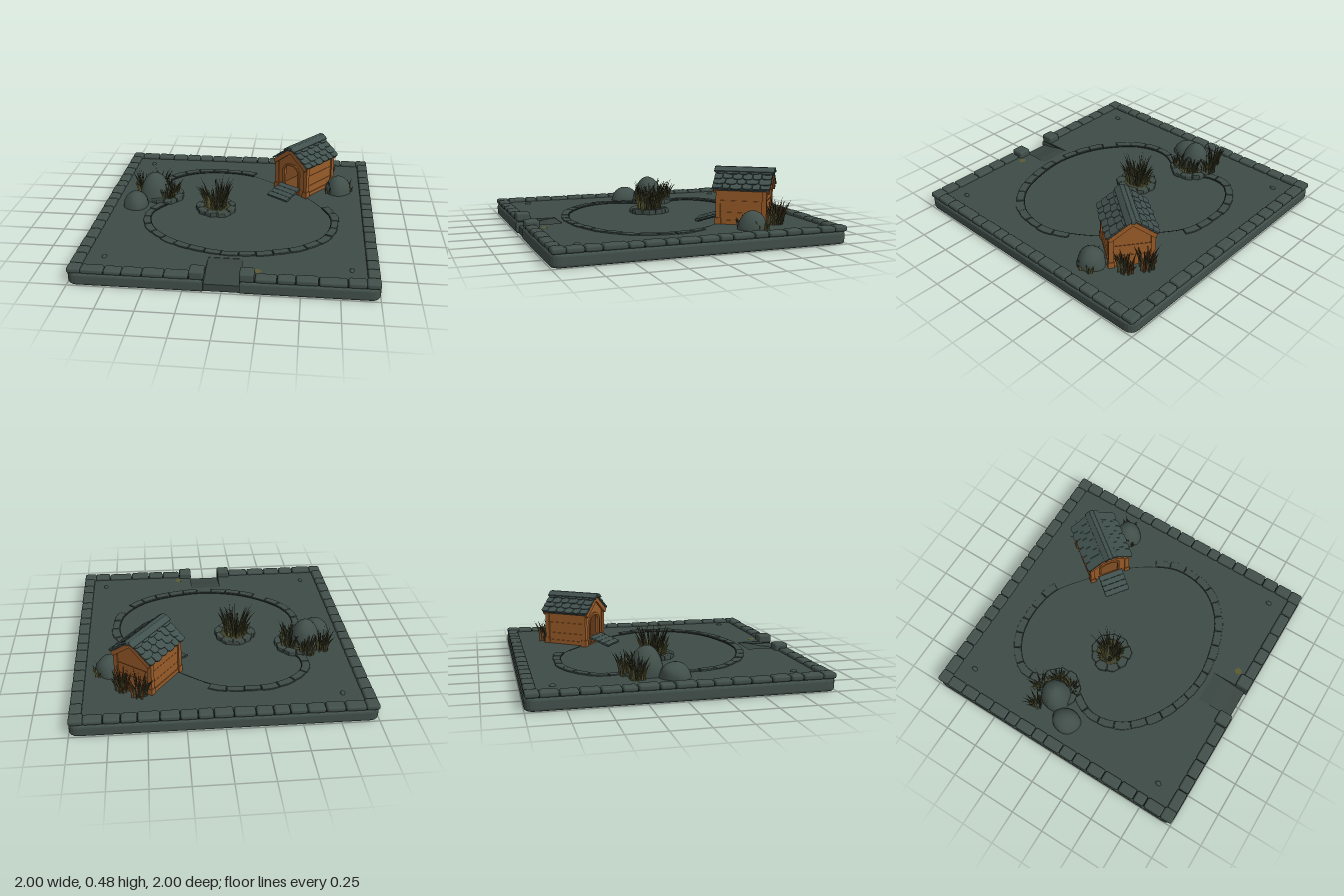
import * as THREE from 'three';
import { mergeGeometries } from 'three/addons/utils/BufferGeometryUtils.js';
import { RoundedBoxGeometry } from 'three/addons/geometries/RoundedBoxGeometry.js';

const mat = (name, color, side = THREE.FrontSide) => {
  const m = new THREE.MeshStandardMaterial({ color, side });
  m.name = name;
  return m;
};

export function createModel() {
  const M = {
    stone: mat('stone', 0x414f4a), ground: mat('ground', 0x3e4b47), path: mat('path', 0x394541),
    gap: mat('dark gap', 0x1c2422), roof: mat('roof slate', 0x40504d), wood: mat('wood', 0x985a28),
    darkWood: mat('dark wood', 0x74451f), grass: mat('grass', 0x3f402a, THREE.DoubleSide),
    dry: mat('dry grass', 0x5c5a30, THREE.DoubleSide), rust: mat('rust grass', 0x6a431f, THREE.DoubleSide),
  };
  const model = new THREE.Group();
  let seed = 7;
  const rnd = (a = 0, b = 1) => {
    seed = (seed * 16807) % 2147483647;
    return a + (b - a) * (seed / 2147483647);
  };
  const add = (parent, name, geo, material, x = 0, y = 0, z = 0) => {
    const mesh = new THREE.Mesh(geo, material);
    mesh.name = name;
    mesh.position.set(x, y, z);
    parent.add(mesh);
    return mesh;
  };
  const box = (w, h, d) => new THREE.BoxGeometry(w, h, d);
  const group = (name, parent = model) => {
    const g = new THREE.Group();
    g.name = name;
    parent.add(g);
    return g;
  };
  // Horizontal plate from [x, z] points, rising from y by h
  const plate = (pts, y, h, bevel = 0, hole) => {
    const v = p => p.map(([x, z]) => new THREE.Vector2(x, -z));
    const s = new THREE.Shape(v(pts));
    if (hole) s.holes.push(new THREE.Path(v(hole)));
    return new THREE.ExtrudeGeometry(s, {
      depth: h - 2 * bevel, bevelEnabled: bevel > 0, bevelThickness: bevel,
      bevelSize: bevel, bevelOffset: -bevel, bevelSegments: 3,
    }).rotateX(-Math.PI / 2).translate(0, y + bevel, 0);
  };

  // Base slab with rounded corners and a notch for the entrance
  const outline = (r, c, notch) => {
    const pts = [[-notch, 0.72], [-notch, r]];
    for (const [sx, sz, start] of [[-1, 1, 0.5], [-1, -1, 1], [1, -1, 1.5], [1, 1, 0]])
      for (let i = 0; i <= 4; i++) {
        const a = (start + i / 8) * Math.PI;
        pts.push([sx * (r - c) + c * Math.cos(a), sz * (r - c) + c * Math.sin(a)]);
      }
    return pts.concat([[notch, r], [notch, 0.72]]);
  };
  add(model, 'base slab', plate(outline(1, 0.06, 0.115), 0, 0.085, 0.018), M.stone);
  add(model, 'border joint', plate(outline(0.985, 0.05, 0.115), 0.08, 0.008), M.gap);

  // Sloping entrance path
  const ramp = new THREE.Shape([[0.7, 0], [0.98, 0], [0.98, 0.05], [0.9, 0.062], [0.8, 0.087], [0.7, 0.0965]]
    .map(p => new THREE.Vector2(-p[0], p[1])));
  add(model, 'entrance path', new THREE.ExtrudeGeometry(ramp, { depth: 0.266, bevelEnabled: false })
    .rotateY(Math.PI / 2).translate(-0.133, 0, 0), M.path);

  // Pond shore
  const shore = new THREE.CatmullRomCurve3([
    [-0.26, -0.68], [0.03, -0.65], [0.25, -0.5], [0.45, -0.33], [0.62, -0.1], [0.69, 0.09], [0.65, 0.33],
    [0.49, 0.51], [0.22, 0.61], [-0.02, 0.63], [-0.32, 0.54], [-0.56, 0.33], [-0.61, 0.11], [-0.5, -0.1],
    [-0.47, -0.22], [-0.57, -0.36], [-0.57, -0.5], [-0.45, -0.62],
  ].map(([x, z]) => new THREE.Vector3(x, 0, z)), true);
  const shoreAt = (u, out) => {
    const p = shore.getPointAt(u % 1), t = shore.getTangentAt(u % 1);
    return [p.x + t.z * out, p.z - t.x * out];
  };
  const loop = out => Array.from({ length: 80 }, (_, i) => shoreAt(i / 80, out));
  add(model, 'ground', plate(outline(0.925, 0.02, 0.115), 0.084, 0.013, 0, loop(0)), M.ground);
  add(model, 'pond surface', plate(loop(0.01), 0.083, 0.008), M.ground);
  add(model, 'shore line', plate(loop(0.004), 0.084, 0.0138, 0, loop(-0.002)), M.gap);

  // Flat stones around the pond, each on a thin dark joint
  const ring = group('pond edging');
  const count = 38;
  const slab = (u0, u1, inner, w) => [shoreAt(u0, inner), shoreAt((u0 + u1) / 2, inner), shoreAt(u1, inner),
    shoreAt(u1, w), shoreAt((u0 + u1) / 2, w + 0.003), shoreAt(u0, w)];
  for (let i = 0; i < count; i++) {
    const u = i / count, w = rnd(0.05, 0.064);
    if (u > 0.075 && u < 0.26) continue;
    add(ring, 'edging joint', plate(slab(u, u + 1 / count, 0.002, w - 0.001), 0.09, 0.0082), M.gap);
    add(ring, 'edging stone', plate(slab(u + 0.0007, u + 1 / count - 0.0007, 0.003, w), 0.09,
      rnd(0.012, 0.018), 0.003), M.ground);
  }

  // Border stones
  const border = group('border stones');
  const run = (a, b, n, place) => {
    const cuts = Array.from({ length: n + 1 }, (_, i) =>
      a + (b - a) * (i + (i && i < n ? rnd(-0.18, 0.18) : 0)) / n);
    for (let i = 0; i < n; i++) place((cuts[i] + cuts[i + 1]) / 2, cuts[i + 1] - cuts[i] - 0.004);
  };
  const brick = (x, z, w, d, h = 0.04) =>
    add(border, 'border stone', new RoundedBoxGeometry(w, h, d, 3, 0.015), M.stone, x, 0.083 + h / 2, z);
  const high = () => rnd(0.035, 0.041);
  for (const s of [-1, 1]) {
    run(-0.91, 0.91, 15, (p, l) => brick(s * 0.957, p, 0.08, l, high()));
    run(0.21, 0.91, 5, (p, l) => brick(s * p, 0.957, l, 0.08, high()));
    for (const t of [-1, 1]) brick(s * 0.952, t * 0.952, 0.09, 0.09);
    brick(s * 0.16, 0.945, 0.095, 0.1, 0.062).name = 'gate stone';
  }
  run(-0.91, 0.91, 15, (p, l) => brick(p, -0.957, l, 0.08, high()));

  // Boulders and pebbles, flat below the ground
  const rock = (name, x, z, rx, top, rz, phase) => {
    const g = new THREE.SphereGeometry(1, 20, 14), p = g.attributes.position;
    for (let i = 0; i < p.count; i++) {
      const a = p.getX(i), b = p.getY(i), c = p.getZ(i);
      const k = 1 + 0.06 * Math.sin(3 * a + phase) * Math.cos(3 * c + b * 2) + 0.04 * Math.sin(4 * b + 3 * c);
      p.setXYZ(i, a * k * rx, Math.max(0.06, 0.095 + b * (top - 0.095)), c * k * rz);
    }
    g.computeVertexNormals();
    add(model, name, g, M.stone, x, 0, z);
  };
  rock('large boulder', -0.65, -0.18, 0.112, 0.293, 0.115, 1);
  rock('small boulder', -0.765, -0.02, 0.092, 0.2, 0.11, 3);
  rock('house boulder', 0.75, -0.42, 0.095, 0.22, 0.1, 5);
  for (const [x, z] of [[-0.79, -0.81], [-0.8, 0.78], [0.82, 0.8]]) rock('pebble', x, z, 0.015, 0.112, 0.023, x);
  add(model, 'moss patch', new THREE.CylinderGeometry(0.025, 0.025, 0.004, 12), M.dry, 0.22, 0.0955, 0.865);

  // Planting beds edged with flat stones
  const bed = (name, x, z, r, n) => {
    const g = group(name);
    g.position.set(x, 0, z);
    add(g, 'soil', new THREE.CylinderGeometry(r * 0.85, r * 0.9, 0.04, 20), M.grass, 0, 0.095, 0);
    for (let i = 0; i < n; i++) {
      const a0 = (i + 0.03) / n * Math.PI * 2, a1 = (i + 0.97) / n * Math.PI * 2, ro = r * rnd(0.92, 1.05);
      const ri = r * rnd(0.6, 0.72);
      const at = (a, q) => [q * Math.cos(a), q * Math.sin(a)];
      add(g, 'bed stone', plate([at(a0, ri), at(a0, ro * 0.97), at((a0 + a1) / 2, ro * 1.03),
        at(a1, ro * 0.97), at(a1, ri)], 0.085, rnd(0.03, 0.042), 0.007), M.ground);
    }
  };
  bed('pond island', -0.155, -0.02, 0.15, 9);
  bed('boulder bed', -0.59, -0.2, 0.155, 9);

  // Grass clumps of bent, flattened blades
  const clump = (name, x, z, r, n, h, material) => {
    const blades = [];
    for (let i = 0; i < n; i++) {
      const len = h * rnd(0.6, 1), a = rnd(0, 6.283), q = r * Math.sqrt(rnd()), lean = (q / r) * rnd(0.2, 0.5) * len;
      const g = new THREE.ConeGeometry(0.012, len, 3, 4, true).translate(0, len / 2, 0).scale(1, 1, 0.5);
      const p = g.attributes.position;
      for (let j = 0; j < p.count; j++) {
        const t = p.getY(j) / len;
        p.setX(j, p.getX(j) * (1 + 0.6 * t) + lean * t * t);
      }
      g.computeVertexNormals();
      blades.push(g.rotateY(-a).translate(q * 0.7 * Math.cos(a), 0, q * 0.7 * Math.sin(a)));
    }
    add(model, name, mergeGeometries(blades), material, x, 0.095, z);
  };
  clump('island grass', -0.155, -0.02, 0.1, 55, 0.235, M.grass);
  clump('island dry grass', -0.155, -0.02, 0.12, 28, 0.16, M.dry);
  for (const [x, z, h] of [[-0.76, -0.27, 0.18], [-0.64, -0.32, 0.18], [-0.53, -0.23, 0.15], [-0.54, -0.12, 0.15]]) {
    clump('boulder grass', x, z, 0.06, 22, h, M.grass);
    clump('boulder dry grass', x, z, 0.068, 10, h * 0.7, M.dry);
  }
  for (const [x, z, h] of [[0.55, -0.72, 0.17], [0.66, -0.64, 0.16]]) {
    clump('house grass', x, z, 0.065, 22, h, M.grass);
    clump('house rust grass', x, z, 0.07, 14, h * 0.9, M.rust);
  }
  clump('side grass', 0.82, -0.45, 0.06, 20, 0.08, M.dry);
  clump('wall grass', 0.68, -0.37, 0.035, 10, 0.1, M.grass);

  // Small wooden house
  const house = group('house');
  house.position.set(0.485, 0, -0.495);
  house.rotation.y = -0.6435;
  const arch = (path, r) => path.moveTo(-r, 0.1).lineTo(-r, 0.27).quadraticCurveTo(-r * 0.85, 0.25 + r, 0, 0.25 + r)
    .quadraticCurveTo(r * 0.85, 0.25 + r, r, 0.27).lineTo(r, 0.1);
  for (const s of [-1, 1]) {
    const gable = new THREE.Shape([[-0.14, 0.09], [0.14, 0.09], [0.14, 0.345], [0, 0.45], [-0.14, 0.345]]
      .map(p => new THREE.Vector2(...p)));
    if (s > 0) gable.holes.push(arch(new THREE.Path(), 0.068));
    add(house, s > 0 ? 'front wall' : 'back wall',
      new THREE.ExtrudeGeometry(gable, { depth: 0.02, bevelEnabled: false }), M.wood, 0, 0, s * 0.155 - 0.01);
    add(house, 'side lining', box(0.012, 0.25, 0.3), M.darkWood, s * 0.131, 0.22, 0);
    for (let i = 0; i < 3; i++)
      add(house, 'side plank', box(0.012, 0.079, 0.31), M.wood, s * 0.139, 0.14 + i * 0.081, 0);
    for (const t of [-1, 1]) {
      add(house, 'corner post', box(0.032, 0.25, 0.032), M.wood, s * 0.139, 0.22, t * 0.158);
      add(house, 'post foot', box(0.042, 0.05, 0.042), M.wood, s * 0.139, 0.115, t * 0.158);
    }
    add(house, 'side sill', box(0.025, 0.03, 0.32), M.wood, s * 0.14, 0.11, 0);
  }
  for (const y of [0.18, 0.261]) add(house, 'back plank joint', box(0.25, 0.003, 0.004), M.darkWood, 0, y, -0.166);
  add(house, 'floor', box(0.26, 0.03, 0.31), M.darkWood, 0, 0.108, 0);
  const frame = arch(new THREE.Shape(), 0.082);
  frame.holes.push(arch(new THREE.Path(), 0.066));
  add(house, 'door frame', new THREE.ExtrudeGeometry(frame, { depth: 0.026, bevelEnabled: false }), M.wood, 0, 0, 0.15);

  // Shingled roof
  for (const s of [-1, 1]) {
    const side = group('roof side', house);
    side.position.y = 0.457;
    side.rotation.z = -s * 0.653;
    add(side, 'roof board', box(0.2, 0.014, 0.37), M.roof, s * 0.1, 0, 0);
    for (const t of [-1, 1]) add(side, 'barge board', box(0.205, 0.03, 0.016), M.wood, s * 0.1, -0.012, t * 0.183);
    for (let row = 0; row < 4; row++) {
      const n = row % 2 ? 6 : 5;
      run(-0.2, 0.2, n, (z, w) => {
        const l = rnd(0.061, 0.07), e = w / 2;
        const shape = [[0, -e], [l * 0.8, -e], [l * 0.96, -e * 0.65], [l, 0], [l * 0.96, e * 0.65], [l * 0.8, e], [0, e]];
        const tile = add(side, 'shingle', plate(shape.map(p => [s * p[0], p[1]]), 0, 0.011), M.roof,
          s * row * 0.049, 0.006, z);
        tile.rotation.z = s * 0.13;
      });
    }
    add(side, 'ridge cap', new RoundedBoxGeometry(0.048, 0.016, 0.42, 2, 0.005), M.roof, s * 0.02, 0.021, 0);
  }
  add(house, 'ridge beam', new RoundedBoxGeometry(0.03, 0.03, 0.425, 2, 0.006), M.roof, 0, 0.466, 0);

  // Plank ramp at the door
  const step = group('door ramp', house);
  step.position.set(0, 0.127, 0.255);
  step.rotation.x = 0.3;
  for (let i = 0; i < 4; i++) add(step, 'ramp plank', box(0.19, 0.014, 0.04), M.roof, 0, 0, (i - 1.5) * 0.042);
  for (const s of [-1, 1]) add(step, 'ramp rail', box(0.015, 0.012, 0.16), M.gap, s * 0.06, -0.012, 0);

  return model;
}
